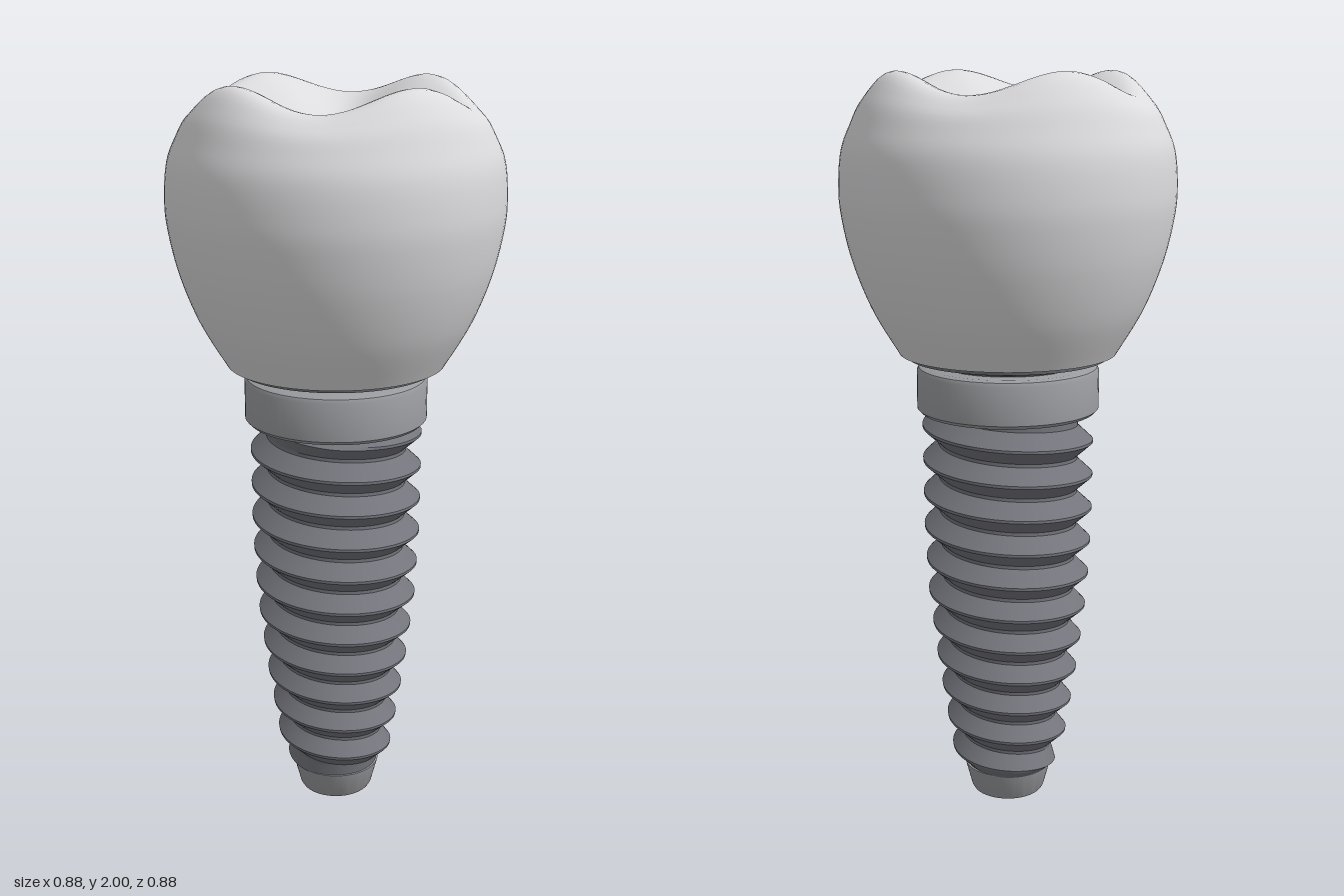
import * as THREE from 'three';
import { mergeVertices, toCreasedNormals } from 'three/addons/utils/BufferGeometryUtils.js';

const v2 = (pts) => pts.map(([x, y]) => new THREE.Vector2(x, y));

// Linear interpolation through a short list of [key, value] pairs
function sample(table, k) {
  if (k <= table[0][0]) return table[0][1];
  for (let i = 1; i < table.length; i++) {
    const [k0, a] = table[i - 1], [k1, b] = table[i];
    if (k <= k1) return a + (b - a) * (k - k0) / (k1 - k0);
  }
  return table[table.length - 1][1];
}

function addMesh(group, name, geometry, material) {
  const mesh = new THREE.Mesh(geometry, material);
  mesh.name = name;
  group.add(mesh);
}

// Lathe with crisp corners
const turned = (pts) => toCreasedNormals(new THREE.LatheGeometry(v2(pts), 64), 0.5);

// Rounded crown whose top is lifted into four cusps around a central hollow
function crownGeometry() {
  const profile = new THREE.SplineCurve(v2([
    [0.29, 1.27], [0.36, 1.39], [0.41, 1.52], [0.436, 1.64], [0.44, 1.72],
    [0.432, 1.8], [0.41, 1.86], [0.375, 1.925], [0.31, 1.972],
    [0.2, 1.925], [0.1, 1.86], [0, 1.83],
  ])).getSpacedPoints(72);
  profile[72].x = 0;
  let g = new THREE.LatheGeometry(profile, 96);
  const p = g.attributes.position;
  for (let i = 0; i < p.count; i++) {
    const x = p.getX(i), y = p.getY(i), z = p.getZ(i);
    if (y < 1.72) continue;
    const r = Math.hypot(x, z);
    const s = THREE.MathUtils.clamp(Math.min(r / 0.31, (0.44 - r) / 0.13), 0, 1);
    p.setY(i, y - 0.028 * s * s * (3 - 2 * s) * Math.cos(4 * Math.atan2(z, x)));
  }
  g.deleteAttribute('uv');
  g.deleteAttribute('normal');
  g = mergeVertices(g, 1e-5);
  g.computeVertexNormals();
  return g;
}

// Tapered helical thread, built flank by flank so the crests stay sharp
function threadGeometry() {
  const bottom = 0.07, top = 1.115, pitch = 0.094, phase = 0.043, seg = 72;
  const crest = [[0.07, 0.135], [0.12, 0.155], [0.25, 0.175], [0.4, 0.197], [0.6, 0.22], [0.8, 0.23], [1.12, 0.232]];
  const root = [[0.07, 0.115], [0.25, 0.138], [0.4, 0.16], [0.6, 0.18], [0.8, 0.188], [1.12, 0.19]];
  const cut = [[0, 0], [0.1, 0], [0.5, 1], [0.58, 1], [1, 0]];
  const pos = [], idx = [];
  const point = (turn, [f, lift], j) => {
    const a = j / seg * Math.PI * 2;
    const y = THREE.MathUtils.clamp(phase + pitch * (turn + f - 0.54 + j / seg), bottom, top);
    const fade = Math.min(1, (y - bottom) / 0.03, (top - y) / 0.02);
    const r0 = sample(root, y), r = r0 + (sample(crest, y) - r0) * lift * fade;
    pos.push(r * Math.cos(a), y, r * Math.sin(a));
    return y;
  };
  for (let turn = -1; turn < 13; turn++) {
    for (let c = 0; c < cut.length - 1; c++) {
      const base = pos.length / 3;
      const heights = [];
      for (let j = 0; j <= seg; j++) heights.push([point(turn, cut[c], j), point(turn, cut[c + 1], j)]);
      for (let j = 0; j < seg; j++) {
        const ys = [...heights[j], ...heights[j + 1]];
        if (Math.max(...ys) - Math.min(...ys) < 1e-6) continue;
        const k = base + 2 * j;
        idx.push(k, k + 1, k + 2, k + 1, k + 3, k + 2);
      }
    }
  }
  const g = new THREE.BufferGeometry();
  g.setAttribute('position', new THREE.Float32BufferAttribute(pos, 3));
  g.setIndex(idx);
  g.computeVertexNormals();
  return g;
}

export function createModel() {
  const material = (name, color) => new THREE.MeshStandardMaterial({ name, color });
  const ceramic = material('ceramic', 0xdcdcde);
  const metal = material('collarMetal', 0x9a9b9f);
  const dark = material('screwMetal', 0x74757c);

  const group = new THREE.Group();
  group.name = 'dentalImplant';

  // Crown and its underside rim
  addMesh(group, 'crown', crownGeometry(), ceramic);
  addMesh(group, 'crownRim', turned([[0.25, 1.275], [0.275, 1.27], [0.29, 1.27]]), ceramic);

  // Shallow cone joining crown and collar
  addMesh(group, 'abutment', turned([[0.17, 1.22], [0.19, 1.24], [0.268, 1.258], [0.272, 1.272]]), dark);

  // Collar ring with bevelled edges
  addMesh(group, 'collar', turned([
    [0, 1.11], [0.235, 1.11], [0.245, 1.12], [0.245, 1.222], [0.24, 1.232], [0.23, 1.237], [0, 1.237],
  ]), metal);

  // Threaded screw and blunt tip
  addMesh(group, 'screwThread', threadGeometry(), dark);
  addMesh(group, 'screwTip', turned([[0, 0], [0.098, 0], [0.103, 0.008], [0.122, 0.08], [0, 0.08]]), metal);

  return group;
}
